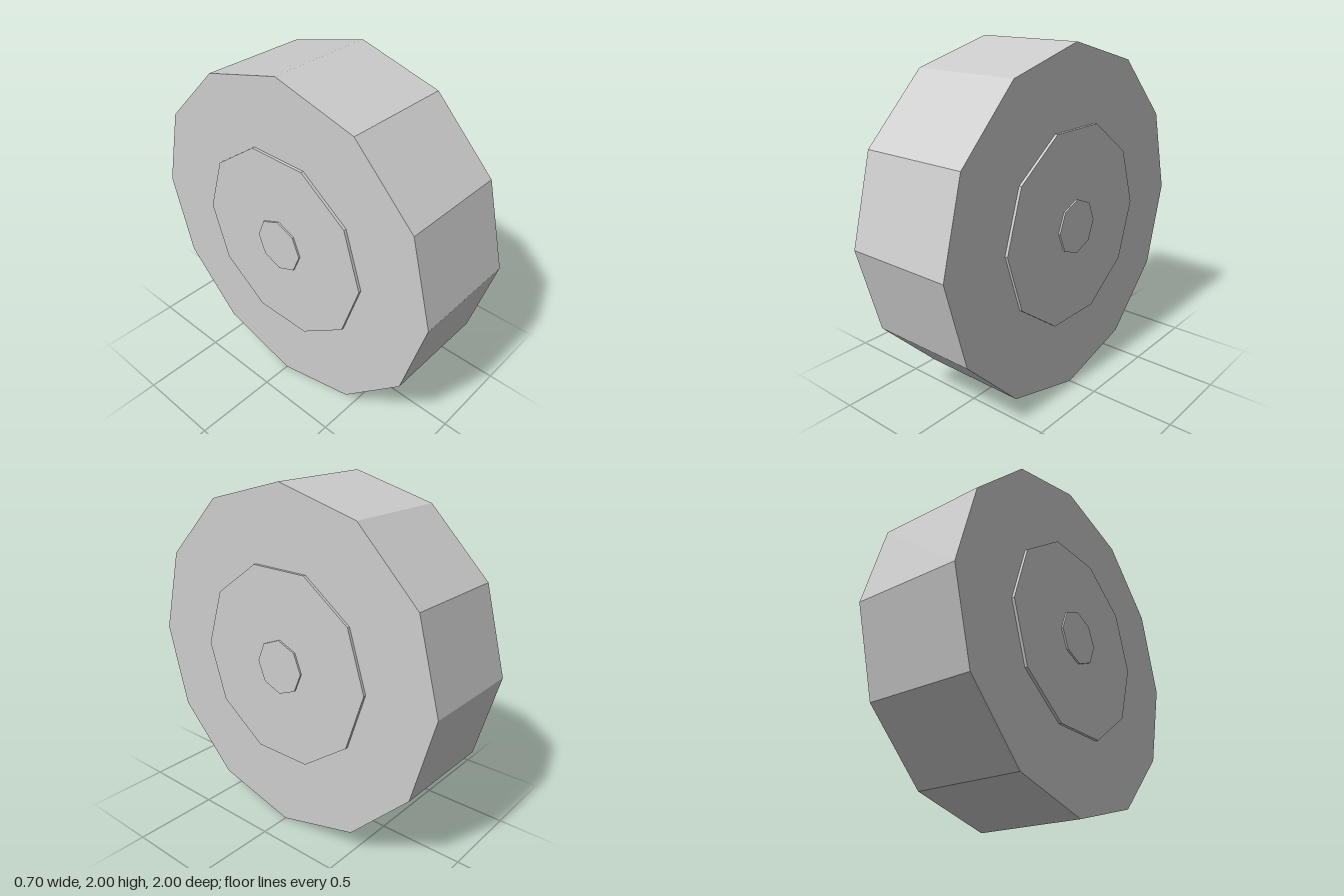
import * as THREE from 'three';

export function createModel() {
  const wheel = new THREE.Group();
  wheel.name = 'wheel';
  const grey = new THREE.MeshStandardMaterial({ color: 0xcccccc, flatShading: true });
  grey.name = 'light grey';

  // Faceted disc whose axle runs along x
  function addDisc(name, radius, width, sides, x = 0) {
    const geometry = new THREE.CylinderGeometry(radius, radius, width, sides);
    geometry.rotateZ(Math.PI / 2);
    const mesh = new THREE.Mesh(geometry, grey);
    mesh.name = name;
    mesh.position.set(x, 1, 0);
    wheel.add(mesh);
  }

  addDisc('tyre', 1, 0.645, 12);

  // Raised rim plate and hub cap on both sides
  for (const [side, s] of [['left', 1], ['right', -1]]) {
    addDisc(side + 'Rim', 0.578, 0.04, 10, s * 0.319);
    addDisc(side + 'HubCap', 0.159, 0.03, 8, s * 0.334);
  }
  return wheel;
}
